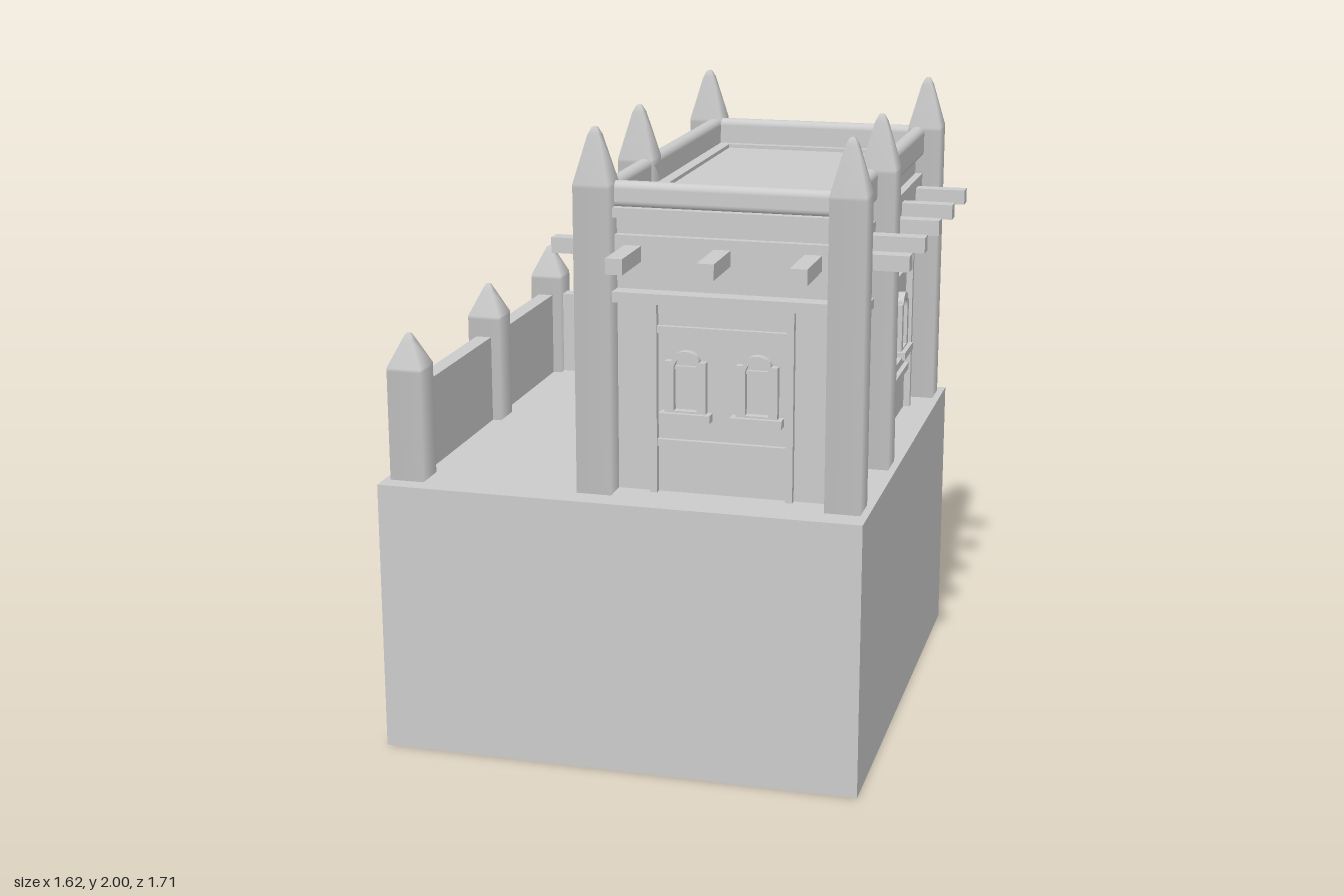
import * as THREE from 'three';
import { RoundedBoxGeometry } from 'three/addons/geometries/RoundedBoxGeometry.js';

const grey = new THREE.MeshStandardMaterial({ color: 0xcccccc });
const greyDouble = new THREE.MeshStandardMaterial({ color: 0xcccccc, side: THREE.DoubleSide });
const FLOOR = 0.875;

function add(parent, name, geometry, material = grey) {
  const mesh = new THREE.Mesh(geometry, material);
  mesh.name = name;
  parent.add(mesh);
  return mesh;
}

// Box given by its limits; radius > 0 rounds the edges
function box(parent, name, x0, x1, y0, y1, z0, z1, radius = 0) {
  const s = [x1 - x0, y1 - y0, z1 - z0];
  const g = radius ? new RoundedBoxGeometry(...s, 3, radius) : new THREE.BoxGeometry(...s);
  const mesh = add(parent, name, g);
  mesh.position.set((x0 + x1) / 2, (y0 + y1) / 2, (z0 + z1) / 2);
  return mesh;
}

// Square, smooth-shaded post with a pointed tip
function post(parent, name, x, z, shoulder, tip) {
  const profile = [[0.055, 0.85], [0.055, FLOOR], [0.055, shoulder - 0.01], [0.055, shoulder],
    [0.018, tip - 0.025], [0.008, tip - 0.004], [0, tip]]
    .map(([r, y]) => new THREE.Vector2(r * Math.SQRT2, y));
  add(parent, name, new THREE.LatheGeometry(profile, 4, Math.PI / 4)).position.set(x, 0, z);
}

// Round-headed window frame with sill, facing +z
function windowFrame(parent, x, sillTop) {
  const g = new THREE.Group();
  g.name = 'window';
  const w = 0.064, h = 0.16, a = 0.043, o = 0.036;
  const s = new THREE.Shape();
  s.moveTo(-w, 0);
  s.lineTo(w, 0);
  s.lineTo(w, h);
  s.lineTo(a, h);
  s.absellipse(0, h, a, 0.032, 0, Math.PI, false);
  s.lineTo(-w, h);
  s.closePath();
  const hole = new THREE.Path();
  hole.moveTo(-o, 0.006);
  hole.lineTo(-o, 0.137);
  hole.absarc(0, 0.137, o, Math.PI, 0, true);
  hole.lineTo(o, 0.006);
  hole.closePath();
  s.holes.push(hole);
  add(g, 'windowFrame', new THREE.ExtrudeGeometry(s, { depth: 0.025, bevelEnabled: false, curveSegments: 8 }));
  box(g, 'windowBar', -o, o, 0.133, 0.143, 0, 0.012);
  box(g, 'windowSill', -0.08, 0.08, -0.025, 0, 0, 0.04);
  g.position.set(x, sillTop, 0);
  parent.add(g);
}

// Timber panel with two windows, facing +z
function panel(name, width, top, railTop, sillTop) {
  const g = new THREE.Group();
  g.name = name;
  const h = width / 2;
  for (const s of [-1, 1]) {
    box(g, 'panelStud', s * h - 0.011, s * h + 0.011, FLOOR, top, -0.01, 0.022);
    windowFrame(g, s * 0.111, sillTop);
  }
  for (const y of [railTop, railTop - 0.355]) box(g, 'panelRail', -h, h, y - 0.022, y, -0.01, 0.016);
  return g;
}

function place(parent, g, x, z, angle) {
  g.position.set(x, 0, z);
  g.rotation.y = angle;
  parent.add(g);
}

export function createModel() {
  const model = new THREE.Group();
  model.name = 'fortHouse';

  // Plinth: box shell open underneath
  const shell = new THREE.BoxGeometry(1.53, FLOOR, 1.59);
  const idx = Array.from(shell.index.array);
  idx.splice(18, 6);
  shell.setIndex(idx);
  shell.clearGroups();
  add(model, 'plinth', shell, greyDouble).position.set(-0.045, FLOOR / 2, 0.005);

  // House walls, overhanging band and roof
  const house = new THREE.Group();
  house.name = 'house';
  model.add(house);
  box(house, 'walls', -0.11, 0.615, FLOOR, 1.73, -0.665, 0.63);
  box(house, 'beamBand', -0.125, 0.64, 1.56, 1.675, -0.685, 0.655);
  box(house, 'roofDeck', -0.04, 0.557, 1.7, 1.74, -0.61, 0.597);
  const rim = [[-0.1, -0.04, -0.66, 0.63], [0.557, 0.61, -0.66, 0.63],
    [-0.05, 0.56, -0.66, -0.61], [-0.05, 0.56, 0.597, 0.63]];
  for (const [x0, x1, z0, z1] of rim) box(house, 'roofRim', x0, x1, 1.7, 1.752, z0, z1);

  // Rounded parapet rails
  for (const [x0, x1] of [[-0.127, -0.077], [0.593, 0.643]])
    box(house, 'sideRail', x0, x1, 1.73, 1.835, -0.69, 0.65, 0.022);
  box(house, 'backRail', -0.13, 0.64, 1.73, 1.835, -0.69, -0.64, 0.022);
  box(house, 'frontRail', -0.13, 0.64, 1.755, 1.835, 0.603, 0.655, 0.022);

  // Front and side ledges
  box(house, 'frontCornice', -0.1, 0.62, 1.73, 1.76, 0.6, 0.675);
  box(house, 'frontLintel', -0.1, 0.62, 1.475, 1.507, 0.6, 0.688);
  box(house, 'sideLintel', 0.6, 0.64, 1.402, 1.432, 0.22, 0.63);

  // Projecting roof beams
  for (const x of [-0.02, 0.255, 0.53]) {
    box(house, 'longBeam', x - 0.026, x + 0.026, 1.597, 1.645, -0.855, -0.6);
    box(house, 'longBeam', x - 0.026, x + 0.026, 1.597, 1.645, 0.6, 0.855);
  }
  for (let i = 0; i < 5; i++) {
    const z = -0.53 + i * 0.2765;
    box(house, 'crossBeam', -0.294, -0.08, 1.597, 1.645, z - 0.026, z + 0.026);
    box(house, 'crossBeam', 0.58, 0.806, 1.597, 1.645, z - 0.026, z + 0.026);
  }

  // Window panels
  place(house, panel('frontPanel', 0.424, 1.475, 1.4, 1.135), 0.252, 0.63, 0);
  place(house, panel('sidePanel', 0.545, 1.56, 1.39, 1.125), 0.615, -0.246, Math.PI / 2);
  place(house, panel('backPanel', 0.424, 1.56, 1.39, 1.125), 0.245, -0.665, Math.PI);
  const courtWindow = new THREE.Group();
  courtWindow.name = 'courtWindow';
  windowFrame(courtWindow, 0, 1.125);
  place(house, courtWindow, -0.11, 0.43, -Math.PI / 2);

  // Courtyard door with steps and sloping canopy
  for (const z of [-0.37, -0.135]) box(house, 'doorJamb', -0.14, -0.1, FLOOR, 1.4, z - 0.018, z + 0.018);
  box(house, 'doorHead', -0.135, -0.1, 1.34, 1.37, -0.37, -0.135);
  [[-0.362, 0.897], [-0.307, 0.952], [-0.252, 1.01], [-0.2, 1.066]].forEach(([x, y], i) =>
    box(model, 'step', x, i < 3 ? x + 0.056 : -0.1, FLOOR - 0.01, y, -0.36, -0.145));
  const canopy = add(house, 'canopy', new RoundedBoxGeometry(0.14, 0.032, 0.326, 3, 0.015));
  canopy.position.set(-0.152, 1.383, -0.253);
  canopy.rotation.z = 0.85;

  // Tall posts of the house
  for (const x of [-0.132, 0.642])
    for (const z of [-0.69, 0.193, 0.662]) post(model, 'tallPost', x, z, 1.832, 2);

  // Courtyard posts and low walls
  for (const z of [-0.69, 0.035, 0.685]) post(model, 'courtPost', -0.735, z === 0.035 ? -0.033 + 0.068 - 0.068 : z, 1.235, 1.34);
  box(model, 'courtSideWall', -0.762, -0.71, 0.855, 1.165, -0.69, 0.685);
  box(model, 'courtBackWall', -0.735, -0.13, 0.855, 1.165, -0.722, -0.668);

  return model;
}
